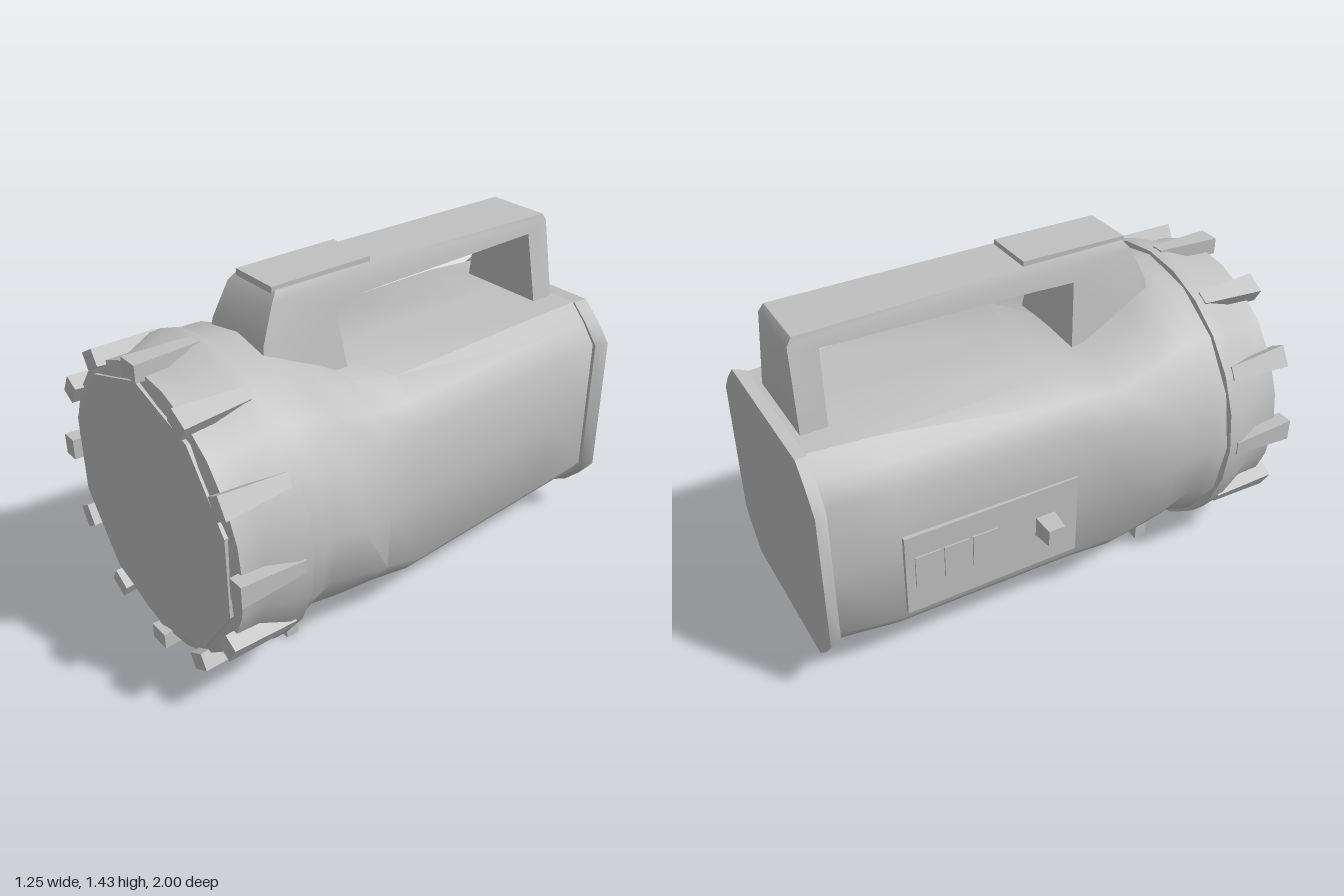
import * as THREE from 'three';
import { toCreasedNormals } from 'three/addons/utils/BufferGeometryUtils.js';

const grey = new THREE.MeshStandardMaterial({ color: 0xc0c0c0 });
grey.name = 'grey plastic';

function add(parent, name, geometry, x = 0, y = 0, z = 0) {
  const mesh = new THREE.Mesh(geometry, grey);
  mesh.name = name;
  mesh.position.set(x, y, z);
  parent.add(mesh);
  return mesh;
}

// Skin over sections [z, xMin, xMax, yMin, yMax, roundness], chamfered box (0) to circle (1)
function loft(sections, crease) {
  const N = 16, pos = [], idx = [];
  const quarter = [[1, 0], [1, 0.66], [0.86, 0.84], [0.7, 1]];
  for (const [z, x0, x1, y0, y1, round] of sections) {
    for (let k = 0; k < N; k++) {
      const a = (k / N) * Math.PI * 2;
      // mirror the first quadrant of the chamfered box
      const q = k % 8, m = q <= 4 ? q : 8 - q;
      const [bx, by] = m === 4 ? [0, 1] : quarter[m];
      const sx = k > 4 && k < 12 ? -1 : 1, sy = k > 8 ? -1 : 1;
      const u = THREE.MathUtils.lerp(bx * sx, Math.cos(a), round);
      const v = THREE.MathUtils.lerp(by * sy, Math.sin(a), round);
      pos.push((x0 + x1) / 2 + (u * (x1 - x0)) / 2, (y0 + y1) / 2 + (v * (y1 - y0)) / 2, z);
    }
  }
  const last = sections.length - 1;
  for (let i = 0; i < last; i++) {
    for (let k = 0; k < N; k++) {
      const a = i * N + k, b = i * N + ((k + 1) % N);
      idx.push(a, b, b + N, a, b + N, a + N);
    }
  }
  for (let k = 1; k < N - 1; k++) {
    idx.push(0, k + 1, k);
    idx.push(last * N, last * N + k, last * N + k + 1);
  }
  const g = new THREE.BufferGeometry();
  g.setAttribute('position', new THREE.Float32BufferAttribute(pos, 3));
  g.setIndex(idx);
  return toCreasedNormals(g, crease);
}

// Half width of the handle at a given height
function handleWidth(y) {
  if (y > 1.4) return 0.12;
  if (y > 1.25) return THREE.MathUtils.mapLinear(y, 1.25, 1.4, 0.16, 0.135);
  return THREE.MathUtils.mapLinear(y, 1.0, 1.25, 0.2, 0.16);
}

function handleGeometry() {
  // Side outline, drawn with z along the shape's x
  const outline = [[0.58, 1.0], [0.55, 1.24], [0.49, 1.38], [0.46, 1.415], [0.05, 1.41],
    [-0.9, 1.39], [-0.92, 1.36], [-0.93, 1.0], [-0.825, 1.0], [-0.81, 1.325],
    [0.05, 1.315], [0.22, 1.31], [0.19, 1.0]];
  const shape = new THREE.Shape(outline.map(([z, y]) => new THREE.Vector2(z, y)));
  const g = new THREE.ExtrudeGeometry(shape, { depth: 1, bevelEnabled: false });
  g.translate(0, 0, -0.5);
  g.rotateY(-Math.PI / 2);
  const p = g.attributes.position;
  for (let i = 0; i < p.count; i++) p.setX(i, p.getX(i) * 2 * handleWidth(p.getY(i)));
  return toCreasedNormals(g, 0.6);
}

export function createModel() {
  const model = new THREE.Group();
  model.name = 'lantern';

  // Housing, boxy at the back and flaring into a round head
  add(model, 'housing', loft([
    [-0.96, -0.43, 0.435, 0.13, 1.03, 0],
    [-0.7, -0.47, 0.45, 0.125, 1.035, 0],
    [0.08, -0.48, 0.5, 0.11, 1.045, 0.1],
    [0.25, -0.54, 0.515, 0.105, 1.07, 0.4],
    [0.44, -0.6, 0.59, 0.1, 1.18, 0.85],
    [0.56, -0.6, 0.595, 0.09, 1.245, 1],
    [0.62, -0.6, 0.6, 0.06, 1.25, 1],
    [0.7, -0.6, 0.6, 0.04, 1.25, 1],
  ], 0.75));

  // Rear cap, widening slightly to the back
  add(model, 'rearCap', loft([
    [-1.0, -0.475, 0.475, 0.12, 1.04, 0],
    [-0.95, -0.45, 0.45, 0.13, 1.03, 0],
  ], 0.75));

  // Carrying handle with raised switch plate
  add(model, 'handle', handleGeometry());
  add(model, 'switchPlate', new THREE.BoxGeometry(0.22, 0.03, 0.45), 0, 1.415, 0.245);

  // Bezel ring with grip lugs and lens
  const head = new THREE.Group();
  head.name = 'head';
  head.position.y = 0.645;
  model.add(head);
  const profile = [[0.5, 0.69], [0.62, 0.69], [0.62, 0.75], [0.575, 0.86], [0.575, 0.955], [0.5, 0.97]];
  const ring = new THREE.LatheGeometry(profile.map(([r, z]) => new THREE.Vector2(r, z)), 24);
  ring.rotateX(Math.PI / 2);
  add(head, 'bezelRing', toCreasedNormals(ring, 0.6));

  const lug = new THREE.BoxGeometry(0.09, 0.085, 0.27);
  const p = lug.attributes.position;
  for (let i = 0; i < p.count; i++) {
    // narrow the rear and lift the inner front edge
    if (p.getZ(i) < 0) p.setX(i, p.getX(i) * 0.6);
    else if (p.getY(i) < 0) p.setY(i, -0.025);
  }
  lug.translate(0, 0.5815, 0.86);
  const flatLug = lug.toNonIndexed();
  flatLug.computeVertexNormals();
  for (let i = 0; i < 12; i++) {
    add(head, 'gripLug', flatLug).rotation.z = (i * Math.PI) / 6;
  }

  const lens = new THREE.CylinderGeometry(0.54, 0.54, 0.08, 10);
  lens.rotateX(Math.PI / 2);
  add(head, 'lens', toCreasedNormals(lens, 0.5), 0, 0, 0.937);

  // Stand foot under the head
  add(model, 'foot', new THREE.BoxGeometry(0.55, 0.14, 0.055), 0, 0.07, 0.55);

  // Control panel with buttons and knob on the right side
  add(model, 'controlPanel', new THREE.BoxGeometry(0.02, 0.36, 0.74), -0.478, 0.49, -0.32);
  for (let i = 0; i < 3; i++) {
    add(model, 'button', new THREE.BoxGeometry(0.01, 0.14, 0.105), -0.489, 0.5, -0.6 + i * 0.12);
  }
  const knob = new THREE.CylinderGeometry(0.05, 0.06, 0.09, 4, 1, false, Math.PI / 4);
  knob.rotateZ(Math.PI / 2);
  add(model, 'knob', toCreasedNormals(knob, 0.3), -0.53, 0.5, -0.095);

  return model;
}
